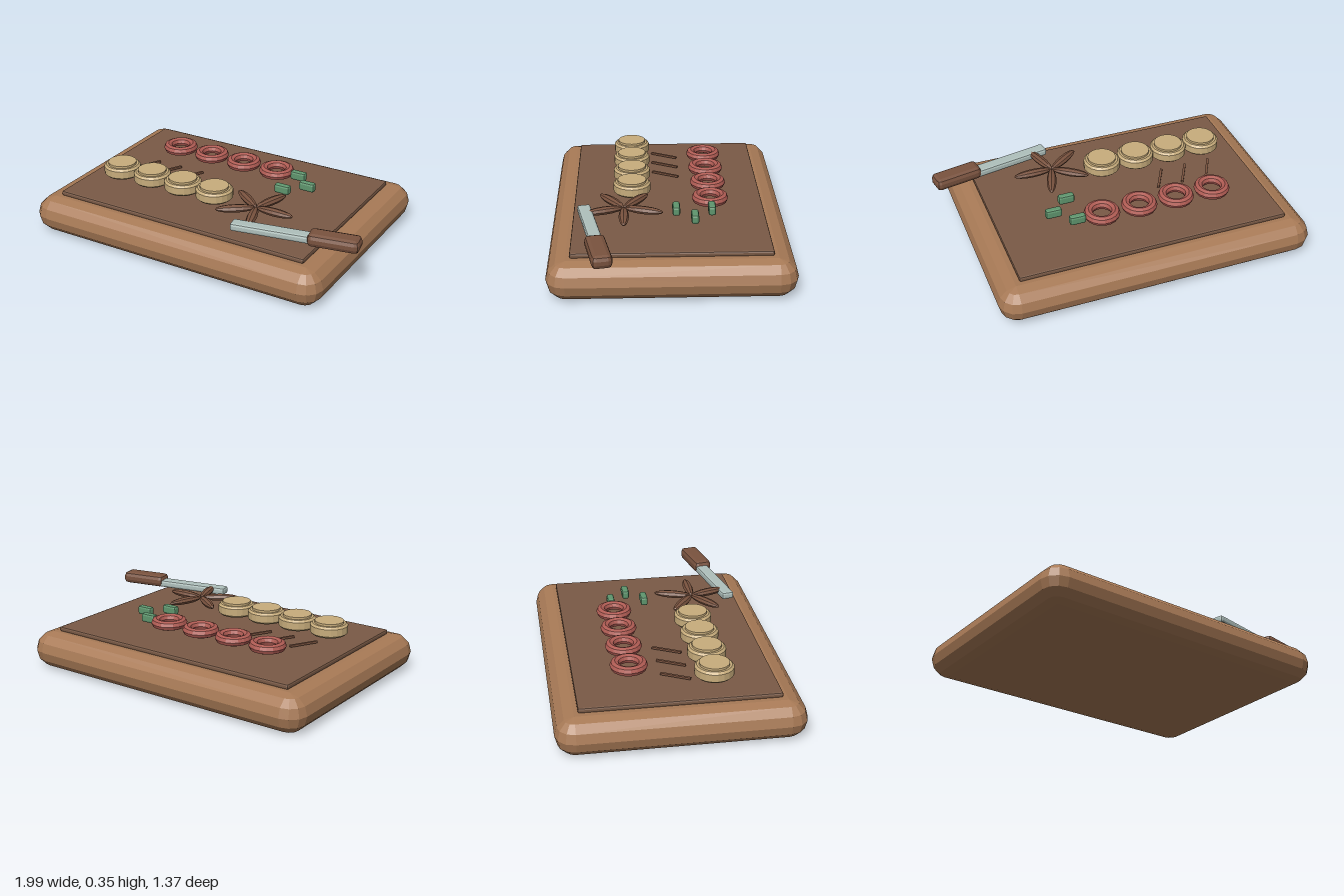
import * as THREE from 'three';
import { ConvexGeometry } from 'three/addons/geometries/ConvexGeometry.js';

const mat = (name, color) => new THREE.MeshStandardMaterial({ name, color, flatShading: true });

// Box whose edges and corners are rounded in a few flat facets
function roundedBox(w, h, d, r, steps) {
  const points = [];
  for (const sx of [-1, 1]) for (const sy of [-1, 1]) for (const sz of [-1, 1]) {
    for (let i = 0; i <= steps; i++) {
      if (i === 0 && sy < 0 && h - 2 * r < 1e-6) continue; // shared equator
      const lat = (i / steps) * Math.PI / 2;
      const ring = r * Math.cos(lat);
      for (let j = 0; j <= (i === steps ? 0 : steps); j++) {
        const lon = (j / steps) * Math.PI / 2;
        points.push(new THREE.Vector3(
          sx * (w / 2 - r + ring * Math.cos(lon)),
          sy * (h / 2 - r + r * Math.sin(lat)),
          sz * (d / 2 - r + ring * Math.sin(lon))));
      }
    }
  }
  return new ConvexGeometry(points);
}

export function createModel() {
  const model = new THREE.Group();
  model.name = 'servingBoard';

  const wood = mat('board wood', 0xa87a56);
  const darkWood = mat('dark inlay', 0x7a5a46);
  const brown = mat('spice and handle brown', 0x7a533f);
  const cream = mat('cream biscuit', 0xc8ad7c);
  const red = mat('red ring', 0xb05c54);
  const green = mat('green', 0x5f966e);
  const steel = mat('steel', 0xafc0bc);

  const add = (name, geometry, material, x, y, z, parent = model) => {
    const mesh = new THREE.Mesh(geometry, material);
    mesh.name = name;
    mesh.position.set(x, y, z);
    parent.add(mesh);
    return mesh;
  };

  // Board and inlay
  add('board', roundedBox(1.88, 0.215, 1.365, 0.1075, 3), wood, -0.06, 0.1075, 0);
  add('inlay', roundedBox(1.61, 0.03, 1.105, 0.01, 2), darkWood, -0.06, 0.228, 0);

  // Round biscuits with a raised centre
  const biscuitProfile = [
    [0, 0.272], [0.097, 0.272], [0.11, 0.284], [0.11, 0.327], [0.098, 0.339],
    [0.085, 0.339], [0.085, 0.352], [0, 0.352],
  ].map(([x, y]) => new THREE.Vector2(x, y));
  const biscuit = new THREE.LatheGeometry(biscuitProfile, 20);
  for (let i = 0; i < 4; i++) add('biscuit', biscuit, cream, -0.66 + i * 0.217, 0, 0.213);

  // Red rings
  const ring = new THREE.TorusGeometry(0.078, 0.028, 8, 18).rotateX(-Math.PI / 2);
  for (let i = 0; i < 4; i++) add('ring', ring, red, -0.533 + i * 0.2297, 0.302, -0.24);

  // Green pieces
  const piece = roundedBox(0.097, 0.055, 0.043, 0.013, 2);
  for (const [x, z] of [[0.305, -0.242], [0.415, -0.14], [0.305, -0.038]]) {
    add('greenPiece', piece, green, x, 0.299, z);
  }

  // Thin slanted sticks
  const stick = new THREE.BoxGeometry(0.175, 0.012, 0.014);
  for (let i = 0; i < 3; i++) {
    add('stick', stick, brown, -0.617 + i * 0.155, 0.256, 0.007).rotation.y = 1.08;
  }

  // Star of five pointed petals
  const star = new THREE.Group();
  star.name = 'star';
  star.position.set(0.295, 0.305, 0.26);
  model.add(star);
  const petal = new THREE.SphereGeometry(1, 8, 8).rotateZ(Math.PI / 2)
    .scale(0.115, 0.023, 0.029).translate(0.118, 0, 0);
  for (let i = 0; i < 5; i++) {
    add('petal', petal, brown, 0, 0, 0, star).rotation.y = (i * Math.PI * 2) / 5;
  }

  // Knife, overhanging the board's edge
  const knife = new THREE.Group();
  knife.name = 'knife';
  knife.position.set(0.705, 0.308, 0.412);
  knife.rotation.y = 0.185;
  model.add(knife);
  add('blade', roundedBox(0.47, 0.046, 0.076, 0.014, 2), steel, -0.208, -0.012, -0.003, knife);
  add('handle', roundedBox(0.288, 0.074, 0.113, 0.026, 2), brown, 0.144, 0, 0.006, knife);

  return model;
}
